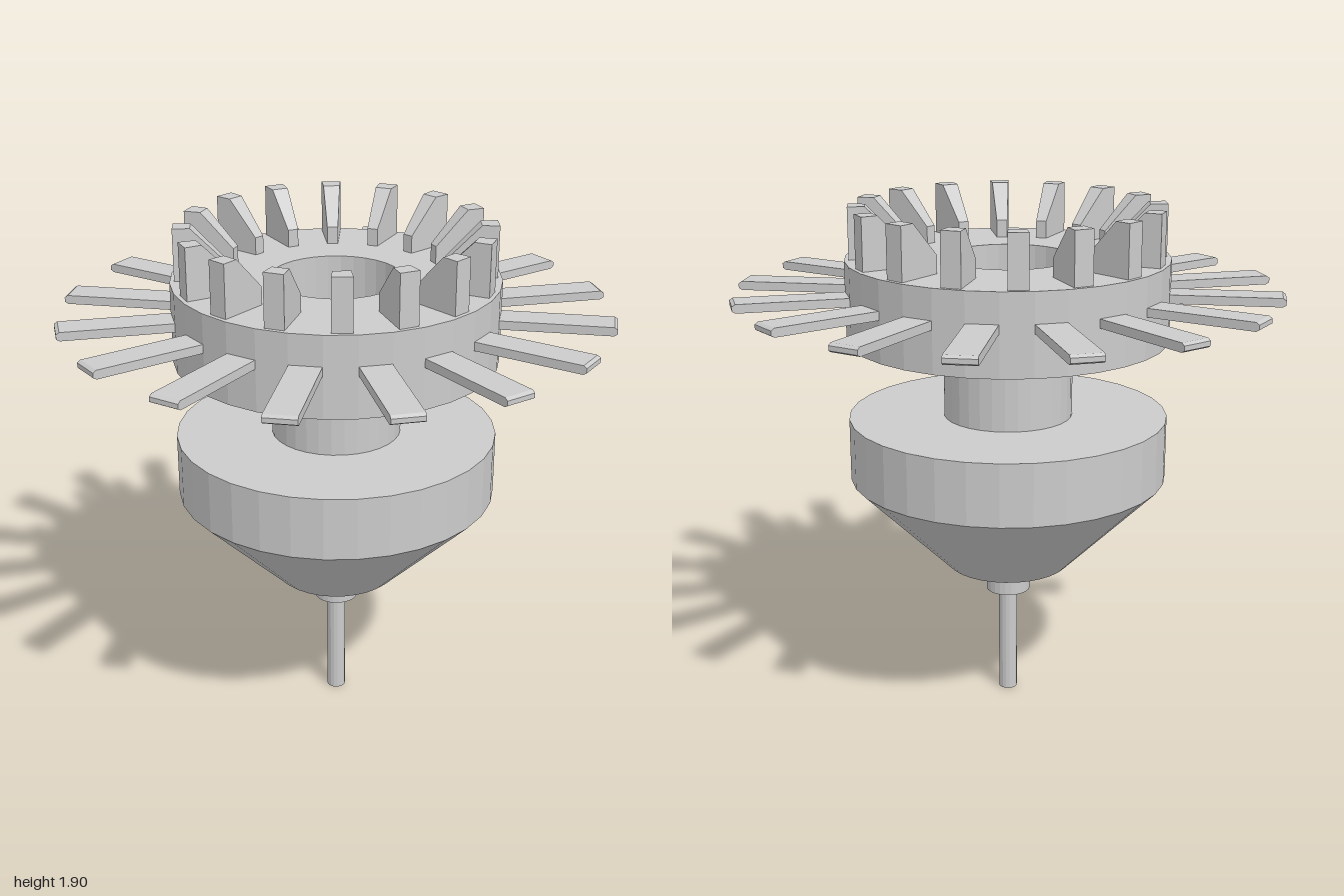
import * as THREE from 'three';

const SIDES = 32;
const COUNT = 16;

const material = new THREE.MeshStandardMaterial({ color: 0xcccccc, flatShading: true });

// Turned part from [radius, height] pairs listed bottom to top along the outside
function turned(name, profile, sides = SIDES) {
  const points = profile.map(([r, y]) => new THREE.Vector2(r, y));
  const mesh = new THREE.Mesh(new THREE.LatheGeometry(points, sides), material);
  mesh.name = name;
  return mesh;
}

// Radial plate: a side profile in [radius, height], with width varying by radius
function radialPlate(profile, widthAt) {
  const shape = new THREE.Shape(profile.map(([r, y]) => new THREE.Vector2(r, y)));
  const geometry = new THREE.ExtrudeGeometry(shape, { depth: 1, bevelEnabled: false });
  geometry.translate(0, 0, -0.5);
  const p = geometry.attributes.position;
  for (let i = 0; i < p.count; i++) p.setZ(i, p.getZ(i) * widthAt(p.getX(i)));
  geometry.computeVertexNormals();
  return geometry;
}

// Repeats one geometry evenly around the axis
function radialArray(name, partName, geometry, offsetDegrees) {
  const group = new THREE.Group();
  group.name = name;
  for (let i = 0; i < COUNT; i++) {
    const mesh = new THREE.Mesh(geometry, material);
    mesh.name = partName;
    mesh.rotation.y = -THREE.MathUtils.degToRad(offsetDegrees + (i * 360) / COUNT);
    group.add(mesh);
  }
  return group;
}

export function createModel() {
  const model = new THREE.Group();
  model.name = 'finnedRotor';

  // Thin shaft and its collar
  model.add(turned('shaft', [[0, 0], [0.035, 0], [0.035, 0.42]], 16));
  model.add(turned('collar', [[0.035, 0.42], [0.083, 0.42], [0.083, 0.536]], 24));

  // Conical lower body with its flat-topped rim
  model.add(turned('lowerBody', [
    [0.083, 0.536], [0.232, 0.536], [0.59, 0.893], [0.59, 1.125], [0.238, 1.125],
  ]));

  // Column joining the body to the upper ring
  model.add(turned('column', [[0.238, 1.125], [0.238, 1.42], [0, 1.42]]));

  // Upper ring: outer wall, top face and bore, open underneath
  model.add(turned('upperRing', [
    [0.59, 1.42], [0.59, 1.715], [0.238, 1.715], [0.238, 1.42],
  ]));

  // Flat spokes with chamfered tips, running out from the bore
  const spoke = radialPlate([
    [0.245, 1.573], [0.985, 1.573], [0.997, 1.58], [0.997, 1.597], [0.985, 1.605], [0.245, 1.605],
  ], () => 0.113);
  model.add(radialArray('spokes', 'spoke', spoke, -5.6));

  // Upright fins, tapering inward with a sloping inner edge
  const fin = radialPlate([
    [0.388, 1.715], [0.572, 1.715], [0.572, 1.905], [0.51, 1.905], [0.388, 1.78],
  ], (r) => 0.04 + ((r - 0.388) / 0.184) * 0.032);
  model.add(radialArray('fins', 'fin', fin, 5.1));

  return model;
}
